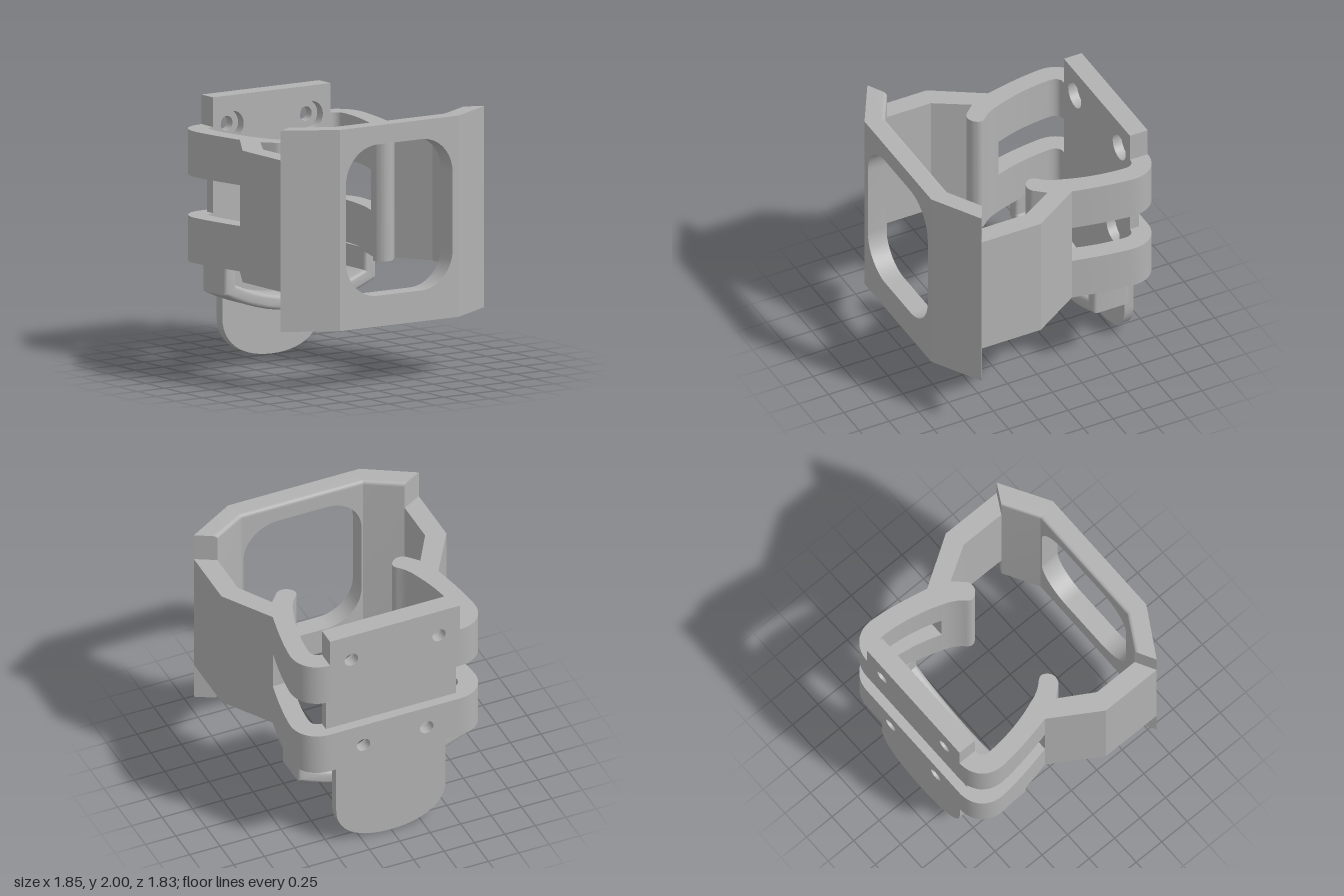
import * as THREE from 'three';
import { toCreasedNormals } from 'three/addons/utils/BufferGeometryUtils.js';

const grey = new THREE.MeshStandardMaterial({ color: 0xb2b2b2 });
grey.name = 'grey plastic';

const LOW = 0.775, HIGH = 1.775;    // height range of the clamp body
const PANEL_LOW = 0.47, PANEL_HIGH = 2;

function add(group, name, geometry) {
  const mesh = new THREE.Mesh(toCreasedNormals(geometry, 0.45), grey);
  mesh.name = name;
  group.add(mesh);
}

const extrude = (shape, depth, more = {}) =>
  new THREE.ExtrudeGeometry(shape, { depth, bevelEnabled: false, curveSegments: 14, ...more });

// Plan outline (x, z) raised from y0 to y1
function raise(shape, y0, y1) {
  return extrude(shape, y1 - y0).rotateX(-Math.PI / 2).translate(0, y0, 0);
}

// Profile (d: 0 outside to 1 inside, y) swept between mitred stations [xOut, zOut, xIn, zIn]
function mitred(shape, stations) {
  const n = stations.length - 1;
  const geometry = extrude(shape, n, { steps: n });
  const p = geometry.attributes.position;
  for (let i = 0; i < p.count; i++) {
    const [xo, zo, xi, zi] = stations[Math.round(p.getZ(i))];
    const d = p.getX(i);
    p.setXYZ(i, xo + d * (xi - xo), p.getY(i), zo + d * (zi - zo));
  }
  return geometry;
}

function circleHole(x, y, r) {
  const path = new THREE.Path();
  path.absarc(x, y, r, 0, Math.PI * 2, true);
  return path;
}

function rectangle(x0, y0, x1, y1) {
  return new THREE.Shape([[x0, y0], [x1, y0], [x1, y1], [x0, y1]].map(a => new THREE.Vector2(...a)));
}

function frontPanel(group) {
  const r = 0.03, rd = 0.2;
  // Side wings, with rounded inner edges at top and bottom
  const wing = new THREE.Shape();
  wing.moveTo(0, PANEL_LOW);
  wing.lineTo(1 - rd, PANEL_LOW);
  wing.quadraticCurveTo(1, PANEL_LOW, 1, PANEL_LOW + r);
  wing.lineTo(1, PANEL_HIGH - r);
  wing.quadraticCurveTo(1, PANEL_HIGH, 1 - rd, PANEL_HIGH);
  wing.lineTo(0, PANEL_HIGH);
  const stations = [[-0.925, 0.69, -0.77, 0.605], [-0.54, 0.915, -0.5, 0.76],
    [0.54, 0.915, 0.5, 0.76], [0.925, 0.69, 0.77, 0.605]];
  add(group, 'rightPanelWing', mitred(wing, stations.slice(0, 2)));
  add(group, 'leftPanelWing', mitred(wing, stations.slice(2)));

  // Rounded rims above and below the window
  const top = new THREE.Shape();
  top.moveTo(0, PANEL_HIGH - r);
  top.lineTo(1, PANEL_HIGH - r);
  top.quadraticCurveTo(1, PANEL_HIGH, 1 - rd, PANEL_HIGH);
  top.lineTo(0, PANEL_HIGH);
  add(group, 'panelTopRim', mitred(top, stations.slice(1, 3)));
  const bottom = new THREE.Shape();
  bottom.moveTo(0, PANEL_LOW);
  bottom.lineTo(1 - rd, PANEL_LOW);
  bottom.quadraticCurveTo(1, PANEL_LOW, 1, PANEL_LOW + r);
  bottom.lineTo(0, PANEL_LOW + r);
  add(group, 'panelBottomRim', mitred(bottom, stations.slice(1, 3)));

  // Centre slab with a rounded window
  const slab = rectangle(-0.5, PANEL_LOW + r, 0.5, PANEL_HIGH - r);
  const w = 0.485, y0 = 0.705, y1 = 1.855, c = 0.285, q = Math.PI / 2;
  const hole = new THREE.Path();
  hole.absarc(w - c, y1 - c, c, 0, q);
  hole.absarc(c - w, y1 - c, c, q, 2 * q);
  hole.absarc(c - w, y0 + c, c, 2 * q, 3 * q);
  hole.absarc(w - c, y0 + c, c, 3 * q, 4 * q);
  slab.holes.push(hole);
  const geometry = extrude(slab, 0.155).translate(0, 0, 0.76);
  const p = geometry.attributes.position;
  for (let i = 0; i < p.count; i++) {
    // widen the outer face to meet the wings
    if (Math.abs(p.getX(i)) > 0.495 && p.getZ(i) > 0.9) p.setX(i, Math.sign(p.getX(i)) * 0.54);
  }
  add(group, 'panelCentre', geometry);
}

function clampSide(group, s, side) {
  // Angled wall ending in a rounded gripping finger
  const wall = new THREE.Shape();
  wall.moveTo(s * 0.925, -0.69);
  wall.lineTo(s * 0.925, -0.19);
  wall.lineTo(s * 0.68, 0.2);
  wall.lineTo(s * 0.512, 0.2);
  wall.quadraticCurveTo(s * 0.485, 0.11, s * 0.43, 0.05);
  wall.bezierCurveTo(s * 0.385, 0.01, s * 0.39, -0.02, s * 0.425, -0.055);
  wall.bezierCurveTo(s * 0.455, -0.085, s * 0.51, -0.085, s * 0.54, -0.05);
  wall.lineTo(s * 0.61, 0.03);
  wall.lineTo(s * 0.77, -0.235);
  wall.lineTo(s * 0.77, -0.605);
  add(group, side + 'WallAndFinger', raise(wall, LOW, HIGH));

  // Two curved bands that wrap round to the back plate
  const band = new THREE.Shape();
  band.moveTo(s * 0.68, 0.2);
  band.quadraticCurveTo(s * 0.75, 0.5, s * 0.76, 0.69);
  band.bezierCurveTo(s * 0.76, 0.83, s * 0.66, 0.915, s * 0.535, 0.915);
  band.lineTo(s * 0.535, 0.765);
  band.quadraticCurveTo(s * 0.605, 0.765, s * 0.61, 0.69);
  band.quadraticCurveTo(s * 0.6, 0.43, s * 0.512, 0.2);
  add(group, side + 'LowerBand', raise(band, LOW, 1.12));
  add(group, side + 'UpperBand', raise(band, 1.43, HIGH));
}

function backPlate(group) {
  const upper = [[-0.36, 1.775], [0.36, 1.775]], lower = [[-0.26, 0.935], [0.26, 0.935]];
  const half = 0.535;

  // Inner layer with wide screw recesses and a rounded tongue below
  const inner = new THREE.Shape();
  inner.moveTo(half, PANEL_HIGH);
  inner.lineTo(-half, PANEL_HIGH);
  inner.lineTo(-half, LOW);
  inner.lineTo(-0.45, LOW);
  inner.lineTo(-0.45, 0.32);
  inner.bezierCurveTo(-0.45, 0.12, -0.28, 0, 0, 0);
  inner.bezierCurveTo(0.28, 0, 0.45, 0.12, 0.45, 0.32);
  inner.lineTo(0.45, LOW);
  inner.lineTo(half, LOW);
  [...upper, ...lower].forEach(([x, y]) => inner.holes.push(circleHole(x, y, 0.105)));
  add(group, 'backPlateWithTongue', extrude(inner, 0.075).translate(0, 0, -0.84));

  // Outer layers with narrow screw holes, leaving a groove between them
  [['upperBackPad', 1.43, PANEL_HIGH, upper], ['lowerBackPad', LOW, 1.12, lower]].forEach(([name, y0, y1, holes]) => {
    const pad = rectangle(-half, y0, half, y1);
    holes.forEach(([x, y]) => pad.holes.push(circleHole(x, y, 0.055)));
    add(group, name, extrude(pad, 0.075).translate(0, 0, -0.915));
  });
}

function lowerStrap(group) {
  // U-shaped strap hanging under the clamp
  const strap = new THREE.Shape();
  strap.moveTo(-0.69, 0.8);
  strap.lineTo(-0.69, 0.56);
  strap.quadraticCurveTo(0, 0.22, 0.69, 0.56);
  strap.lineTo(0.69, 0.8);
  strap.lineTo(0.58, 0.8);
  strap.lineTo(0.58, 0.63);
  strap.quadraticCurveTo(0, 0.37, -0.58, 0.63);
  strap.lineTo(-0.58, 0.8);
  const b = 0.03;
  add(group, 'lowerStrap', extrude(strap, 0.305 - 2 * b, {
    bevelEnabled: true, bevelSize: b, bevelOffset: -b, bevelThickness: b, bevelSegments: 4,
  }).translate(0, 0, -0.685 + b));
}

export function createModel() {
  const model = new THREE.Group();
  model.name = 'clampBracket';
  frontPanel(model);
  clampSide(model, 1, 'left');
  clampSide(model, -1, 'right');
  backPlate(model);
  lowerStrap(model);
  return model;
}
